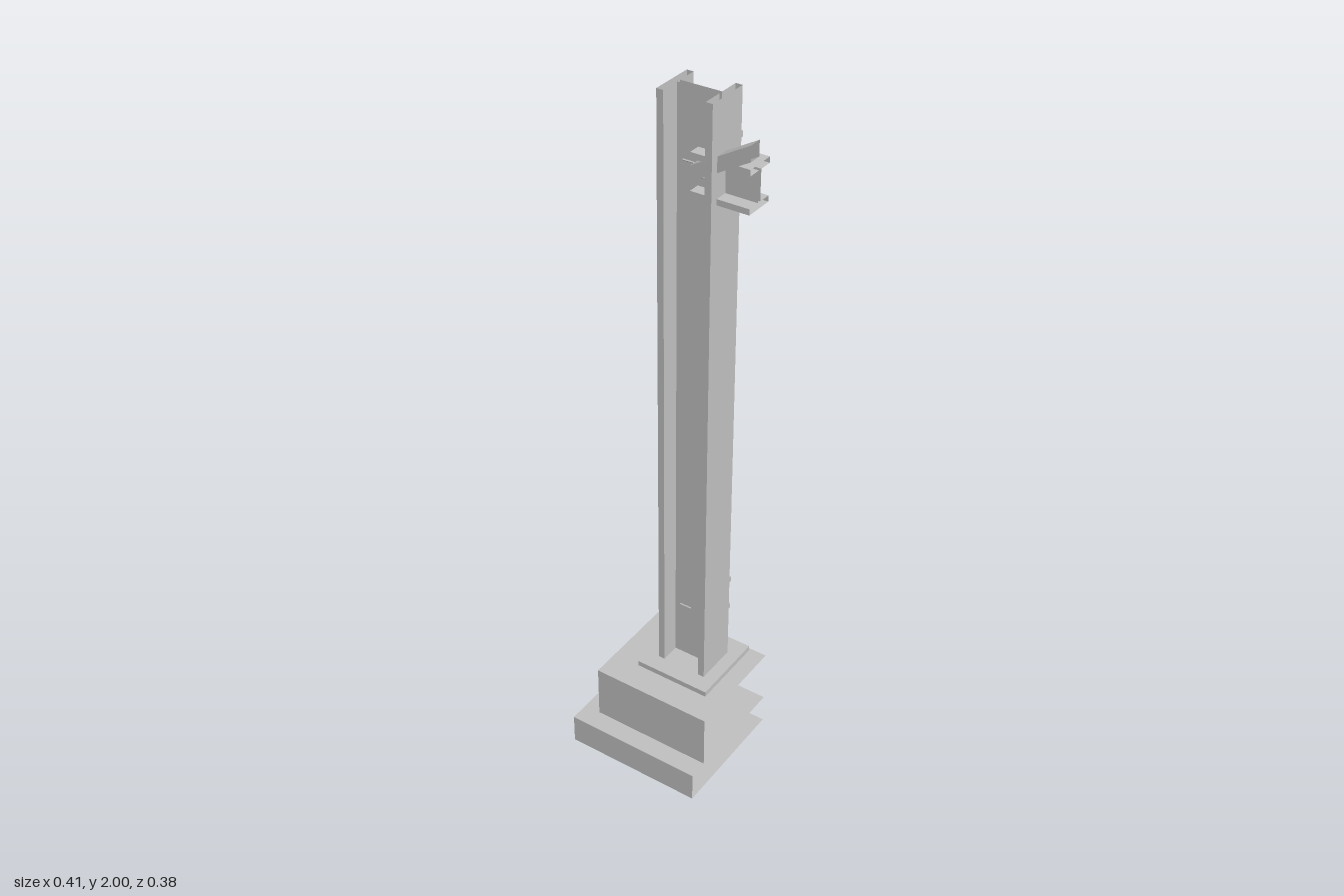
import * as THREE from 'three';

const steel = new THREE.MeshStandardMaterial({ color: 0xbfbfbf, side: THREE.DoubleSide });
steel.name = 'plain grey';

// Box whose listed faces are left out (0 +x, 1 -x, 2 +y, 3 -y, 4 +z, 5 -z)
function openBox(w, h, d, omit = []) {
  const g = new THREE.BoxGeometry(w, h, d);
  const index = Array.from(g.index.array);
  g.setIndex(index.filter((_, i) => !omit.includes(Math.floor(i / 6))));
  g.clearGroups();
  return g;
}

// Box given by its limits on each axis
function blockBetween([x0, x1], [y0, y1], [z0, z1], omit) {
  return openBox(x1 - x0, y1 - y0, z1 - z0, omit)
    .translate((x0 + x1) / 2, (y0 + y1) / 2, (z0 + z1) / 2);
}

// Open-ended I section running along +z, flanges horizontal
function iSection(width, depth, flange, web, length) {
  const a = width / 2, b = depth / 2, c = b - flange, t = web / 2;
  const outline = [[-a, -b], [a, -b], [a, -c], [t, -c], [t, c], [a, c],
    [a, b], [-a, b], [-a, c], [-t, c], [-t, -c], [-a, -c]];
  const shape = new THREE.Shape(outline.map(([x, y]) => new THREE.Vector2(x, y)));
  const solid = new THREE.ExtrudeGeometry(shape, { depth: length, bevelEnabled: false });
  const { start, count } = solid.groups[1];
  const g = new THREE.BufferGeometry();
  const pos = solid.attributes.position.array.slice(start * 3, (start + count) * 3);
  g.setAttribute('position', new THREE.BufferAttribute(pos, 3));
  g.computeVertexNormals();
  return g;
}

// Sloping square bar along +x: square-cut tip at the origin, plumb open end
function braceBar(run, slope, size = 0.036) {
  const angle = Math.atan(slope);
  const g = openBox(run, size, size, [0]);
  const p = g.attributes.position;
  for (let i = 0; i < p.count; i++) {
    const low = p.getY(i) < 0;
    const x = p.getX(i) > 0 ? run : low ? size * Math.sin(angle) : 0;
    p.setXYZ(i, x, slope * x - (low ? size / Math.cos(angle) : 0), p.getZ(i));
  }
  g.computeVertexNormals();
  return g;
}

export function createModel() {
  const model = new THREE.Group();
  const add = (name, geometry, x = 0, y = 0, z = 0) => {
    const mesh = new THREE.Mesh(geometry, steel);
    mesh.name = name;
    mesh.position.set(x, y, z);
    model.add(mesh);
  };
  const cx = 0.039, cz = -0.0635, right = 0.204, back = -0.189;

  // Stepped foundation, open on the cut sides
  add('footing', blockBetween([-0.205, right], [0, 0.09], [back, 0.187], [0, 1, 5]));
  add('pedestal', blockBetween([-0.156, right], [0.09, 0.254], [back, 0.13], [0, 3, 5]));
  add('basePlate', blockBetween([-0.073, 0.153], [0.249, 0.27], [-0.181, 0.048]));

  // Upright column
  const column = iSection(0.124, 0.152, 0.019, 0.012, 1.73);
  column.rotateZ(Math.PI / 2).rotateX(-Math.PI / 2);
  add('column', column, cx, 0.27, cz);

  // Rear beams at two levels
  for (const [name, y] of [['lowerRearBeam', 0.433], ['upperRearBeam', 1.797]]) {
    add(name, iSection(0.083, 0.115, 0.016, 0.01, 0.129), cx, y, back);
  }

  // Side beam
  add('sideBeam', iSection(0.083, 0.115, 0.016, 0.01, right - 0.041).rotateY(Math.PI / 2),
    0.041, 1.797, -0.066);

  // Diagonal braces
  add('sideBrace', braceBar(right - 0.04, 0.58), 0.04, 1.82, -0.042);
  const rearBrace = (name, run, slope, x, y) =>
    add(name, braceBar(run, slope).rotateY(Math.PI / 2), x, y, back + run);
  rearBrace('upperRearBrace', 0.134, 0.87, 0.016, 1.811);
  rearBrace('hangingRearBrace', 0.109, -1, 0.063, 1.805);
  rearBrace('lowerRearBrace', 0.134, 1.03, 0.016, 0.445);

  return model;
}
